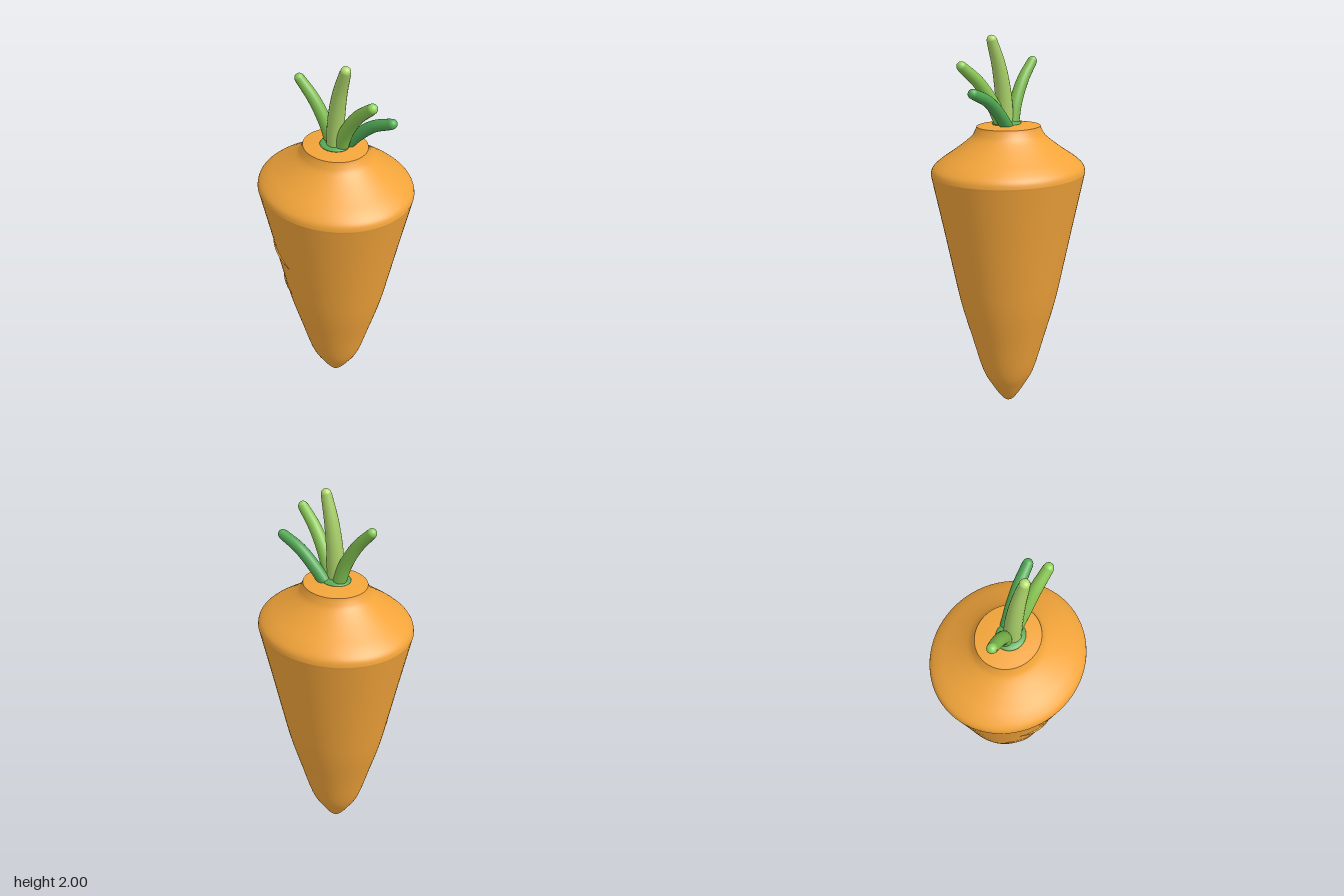
import * as THREE from 'three';

const ORANGE = 0xf2a43a;
const DEPTH = 0.91; // root is slightly flattened front to back

// Root outline as [radius, height], from the tip up to the neck
const lower = [[0, 0.005], [0.022, 0.01], [0.05, 0.04], [0.09, 0.1], [0.145, 0.2], [0.205, 0.4],
  [0.262, 0.6], [0.305, 0.8], [0.346, 1.0], [0.388, 1.2], [0.408, 1.295]];
const upper = [[0.408, 1.295], [0.411, 1.315], [0.4, 1.345], [0.36, 1.38], [0.3, 1.42], [0.24, 1.462],
  [0.195, 1.5], [0.176, 1.53], [0.168, 1.55]];
const vec2 = (p) => p.map(([x, y]) => new THREE.Vector2(x, y));
const vec3 = (p) => p.map((q) => new THREE.Vector3(...q));

function add(group, name, geometry, color) {
  const mesh = new THREE.Mesh(geometry, new THREE.MeshStandardMaterial({ color }));
  mesh.name = name;
  group.add(mesh);
  return mesh;
}

// Tube along a curve whose radius follows a rule of t
function taperedTube(points, radiusAt, segments = 24, sides = 20) {
  const curve = new THREE.CatmullRomCurve3(points);
  const geo = new THREE.TubeGeometry(curve, segments, 1, sides);
  const pos = geo.attributes.position;
  const v = new THREE.Vector3();
  for (let i = 0; i < pos.count; i++) {
    const t = Math.floor(i / (sides + 1)) / segments;
    const c = curve.getPointAt(t);
    v.fromBufferAttribute(pos, i).sub(c).multiplyScalar(radiusAt(t)).add(c);
    pos.setXYZ(i, v.x, v.y, v.z);
  }
  return geo;
}

function rootRadius(y) {
  const i = lower.findIndex((p) => p[1] >= y);
  const [a, b] = [lower[i - 1], lower[i]];
  return a[0] + (b[0] - a[0]) * (y - a[1]) / (b[1] - a[1]);
}

export function createModel() {
  const model = new THREE.Group();
  model.name = 'carrot';

  // Root: one smooth lathe, with a separate crown for a sharp rim
  const outline = new THREE.SplineCurve(vec2([...lower, ...upper.slice(1)])).getPoints(80);
  outline[0].x = 0;
  const root = add(model, 'root', new THREE.LatheGeometry(outline, 72), ORANGE);
  root.scale.z = DEPTH;
  const crown = add(model, 'crown',
    new THREE.LatheGeometry(vec2([[0.168, 1.55], [0.12, 1.556], [0.07, 1.561], [0, 1.563]]), 72), ORANGE);
  crown.scale.z = DEPTH;

  // Green base the leaves grow from
  const base = add(model, 'leafBase', new THREE.SphereGeometry(1, 32, 16), 0x58ab58);
  base.scale.set(0.078, 0.016, 0.07);
  base.position.set(0.005, 1.562, 0.01);

  // Leaf stalks with rounded, lighter tips
  const leaves = [
    ['leftwardStalk', [[-0.025, 1.56, 0], [-0.055, 1.66, 0.012], [-0.115, 1.77, 0.028], [-0.192, 1.86, 0.045]], 0.034, 0.025, 0x7dbb4d, 0x8ed05c],
    ['tallStalk', [[0.012, 1.56, 0.015], [0.02, 1.7, 0.017], [0.046, 1.85, 0.02], [0.086, 1.978, 0.025]], 0.044, 0.026, 0xa8cf68, 0xb6e070],
    ['sideStalk', [[0.04, 1.56, 0.005], [0.085, 1.66, 0.017], [0.165, 1.775, 0.028], [0.261, 1.86, 0.038]], 0.036, 0.026, 0x88c552, 0x92d65c],
    ['rearStalk', [[0.04, 1.555, -0.035], [0.1, 1.625, -0.05], [0.18, 1.695, -0.066], [0.282, 1.742, -0.081]], 0.032, 0.026, 0x4fa452, 0x58b05a],
  ];
  for (const [name, pts, r0, r1, color, tipColor] of leaves) {
    const points = vec3(pts);
    add(model, name, taperedTube(points, (t) => r0 + (r1 - r0) * t * t), color);
    const tip = add(model, name + 'Tip', new THREE.SphereGeometry(r1 * 0.95, 20, 14), tipColor);
    tip.position.copy(points[3]);
  }

  // Two thin creases lying on the front of the root
  const creases = [[[-0.235, 0.99], [-0.055, 0.912]], [[-0.255, 0.735], [-0.095, 0.675]]];
  for (const [[x0, y0], [x1, y1]] of creases) {
    const points = [];
    for (let i = 0; i <= 6; i++) {
      const x = x0 + (x1 - x0) * i / 6;
      const y = y0 + (y1 - y0) * i / 6;
      points.push(new THREE.Vector3(x, y, DEPTH * Math.sqrt(rootRadius(y) ** 2 - x * x)));
    }
    add(model, 'crease', taperedTube(points, (t) => 0.001 + 0.007 * Math.sin(Math.PI * t), 24, 8), ORANGE);
  }
  return model;
}
